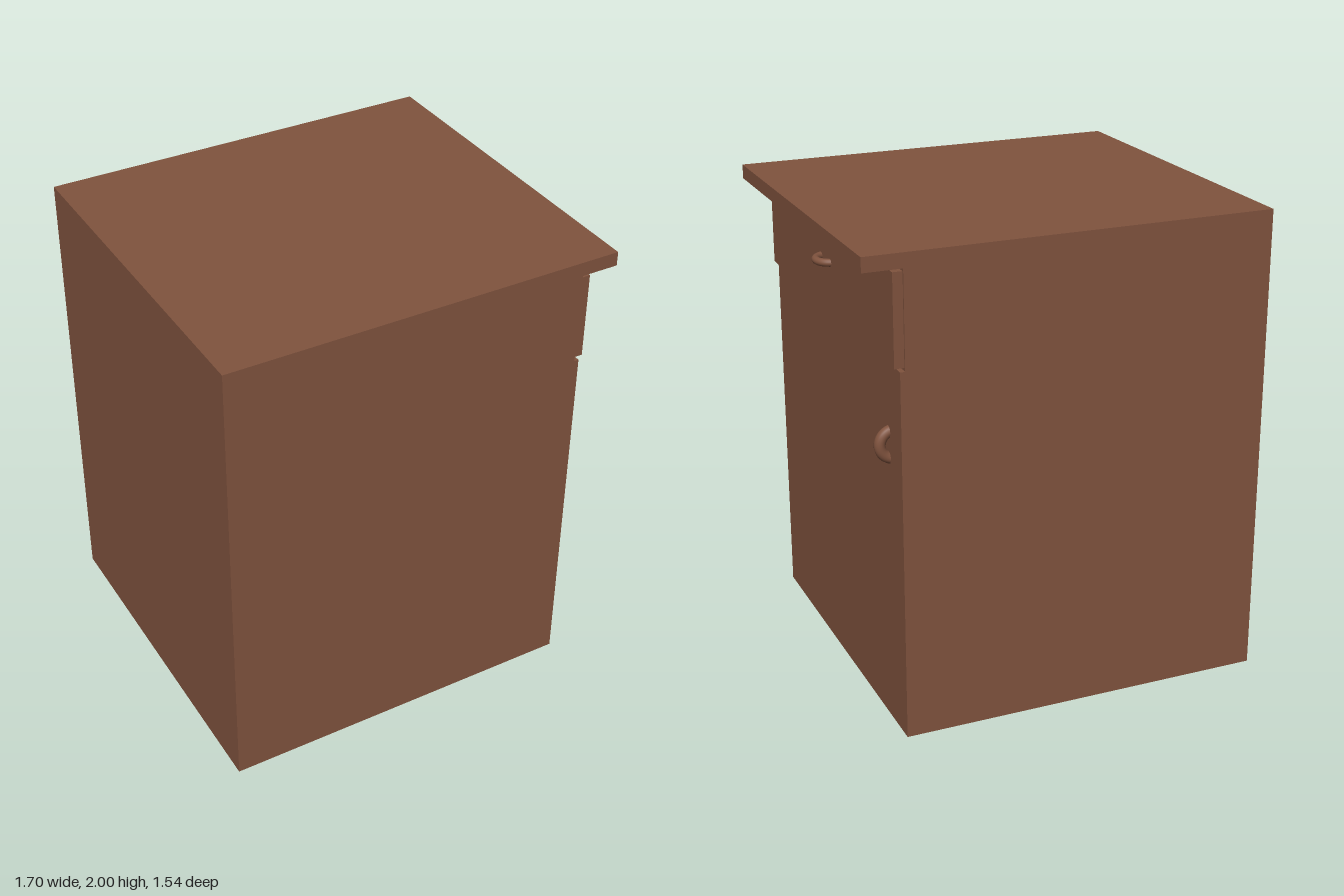
import * as THREE from 'three';

export function createModel() {
  const group = new THREE.Group();
  const wood = new THREE.MeshStandardMaterial({ color: 0x80533e });

  const add = (name, geometry) => {
    const mesh = new THREE.Mesh(geometry, wood);
    mesh.name = name;
    group.add(mesh);
    return mesh;
  };

  // Cabinet carcass: side profile with overhanging top, drawer recess and door face
  const profile = new THREE.Shape([
    [-0.85, 0], [0.71, 0], [0.71, 1.545], [0.69, 1.545],
    [0.69, 1.94], [0.85, 1.94], [0.85, 2], [-0.85, 2],
  ].map(([x, y]) => new THREE.Vector2(x, y)));
  const depth = 1.54;
  const body = new THREE.ExtrudeGeometry(profile, { depth, bevelEnabled: false });
  body.translate(0, 0, -depth / 2);
  add('cabinetBody', body);

  // Drawer front, standing proud of the recess
  const drawer = add('drawerFront', new THREE.BoxGeometry(0.05, 0.37, 1.525));
  drawer.position.set(0.705, 1.743, 0);

  // Half-ring handles whose ends sink into the panels
  const addHandle = (name, radius, tube, position, tilt) => {
    const handle = add(name, new THREE.TorusGeometry(radius, tube, 16, 32, Math.PI));
    handle.rotation.set(tilt, 0, -Math.PI / 2);
    handle.position.set(...position);
  };
  addHandle('drawerHandle', 0.061, 0.016, [0.708, 1.767, 0.02], Math.PI / 2);
  addHandle('doorHandle', 0.058, 0.023, [0.688, 1.206, -0.625], 0);

  return group;
}
